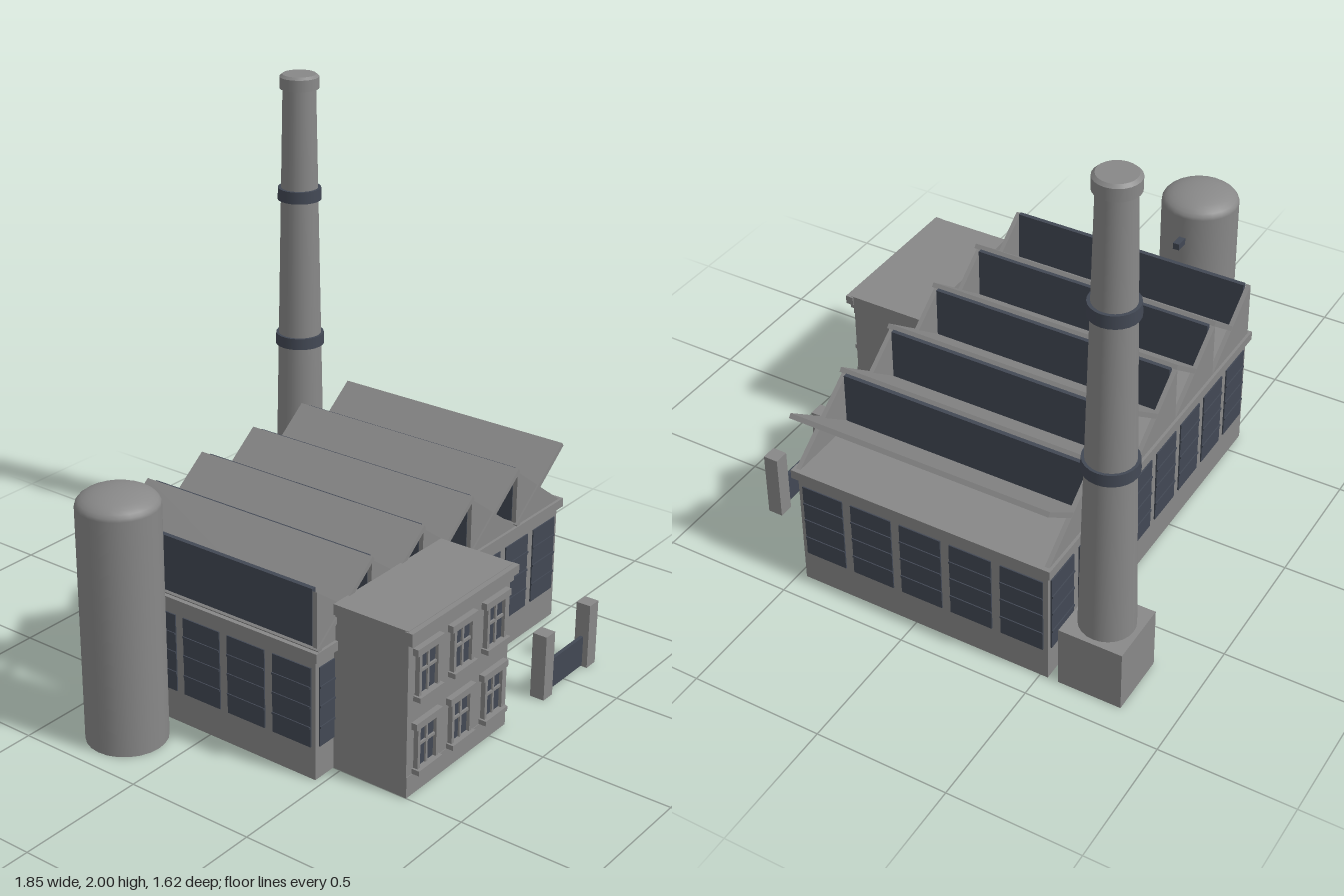
import * as THREE from 'three';

export function createModel() {
  const model = new THREE.Group();
  const masonry = new THREE.MeshStandardMaterial({ color: 0x888888 });
  masonry.name = 'masonry grey';
  const dark = new THREE.MeshStandardMaterial({ color: 0x424854 });
  dark.name = 'dark glass and steel';

  const add = (name, geometry, material, parent = model) => {
    const mesh = new THREE.Mesh(geometry, material);
    mesh.name = name;
    parent.add(mesh);
    return mesh;
  };
  // Box given by its lower and upper limits on each axis
  const box = (name, material, [x0, x1], [y0, y1], [z0, z1], parent) => {
    const mesh = add(name, new THREE.BoxGeometry(x1 - x0, y1 - y0, z1 - z0), material, parent);
    mesh.position.set((x0 + x1) / 2, (y0 + y1) / 2, (z0 + z1) / 2);
    return mesh;
  };
  const group = (name, parent = model) => {
    const g = new THREE.Group();
    g.name = name;
    parent.add(g);
    return g;
  };

  // Main hall
  const hall = group('hall');
  box('hallWalls', masonry, [-0.6, 0.9], [0, 0.48], [-0.53, 0.47], hall);
  box('hallCornice', masonry, [-0.617, 0.917], [0.465, 0.5], [-0.547, 0.487], hall);

  // Rows of large windows, with thin glazing bars
  const windowRow = (name, count, length, pane, x, z, angle) => {
    const row = group(name, hall);
    row.position.set(x, 0, z);
    row.rotation.y = angle;
    const pitch = length / count;
    for (let i = 0; i < count; i++) {
      const c = (i + 0.5) * pitch - length / 2;
      const span = [c - pane / 2, c + pane / 2];
      box('hallWindow', dark, span, [0.125, 0.43], [-0.003, 0.005], row);
      for (const y of [0.2, 0.28, 0.355]) {
        box('glazingBar', dark, span, [y - 0.004, y + 0.004], [0, 0.009], row);
      }
    }
  };
  windowRow('frontWindows', 8, 1.5, 0.15, 0.15, 0.47, 0);
  windowRow('backWindows', 8, 1.5, 0.15, 0.15, -0.53, Math.PI);
  windowRow('leftWindows', 5, 1, 0.165, 0.9, -0.03, Math.PI / 2);
  windowRow('rightWindows', 5, 1, 0.165, -0.6, -0.03, -Math.PI / 2);

  // Saw-tooth roof: end gables, upright glazing and tilted slabs
  const gableShape = new THREE.Shape([
    new THREE.Vector2(0, 0.49), new THREE.Vector2(0.3, 0.5), new THREE.Vector2(0, 0.72),
  ]);
  const gableGeometry = new THREE.ExtrudeGeometry(gableShape, { depth: 0.018, bevelEnabled: false });
  const rise = 0.23, run = 0.3;
  for (let i = 0; i < 5; i++) {
    const tooth = group('roofTooth', hall);
    tooth.position.x = -0.6 + i * run;
    for (const z of [-0.536, 0.458]) add('gable', gableGeometry, masonry, tooth).position.z = z;
    box('roofGlazing', dark, [0.002, 0.02], [0.49, 0.725], [-0.515, 0.455], tooth);
    const slab = add('roofSlab', new THREE.BoxGeometry(Math.hypot(run, rise), 0.018, 1.018), masonry, tooth);
    slab.position.set(run / 2, 0.5 + rise / 2, -0.026);
    slab.rotation.z = Math.atan2(rise, run);
  }

  // Front office block
  const office = group('office');
  box('officeWalls', masonry, [-0.5, 0.1], [0, 0.6], [0.46, 0.775], office);
  box('officeRoof', masonry, [-0.51, 0.11], [0.6, 0.64], [0.475, 0.78], office);
  box('officeCornice', masonry, [-0.515, 0.115], [0.605, 0.638], [0.77, 0.8], office);
  box('officeCorniceStep', masonry, [-0.5, 0.1], [0.58, 0.606], [0.77, 0.79], office);
  box('officePlinth', masonry, [-0.5, 0.1], [0, 0.08], [0.77, 0.777], office);

  // Office windows with frame, bars, lintel and sill
  for (const x of [-0.4, -0.2, 0]) {
    for (const y of [0.09, 0.37]) {
      const win = group('officeWindow', office);
      win.position.set(x, y, 0.775);
      box('pane', dark, [-0.05, 0.05], [0.008, 0.17], [-0.003, 0.005], win);
      for (const s of [-1, 1]) {
        box('jamb', masonry, s < 0 ? [-0.06, -0.046] : [0.046, 0.06], [0.005, 0.17], [0, 0.018], win);
      }
      box('mullion', masonry, [-0.005, 0.005], [0.005, 0.17], [0, 0.012], win);
      box('transom', masonry, [-0.05, 0.05], [0.092, 0.102], [0, 0.012], win);
      box('lintel', masonry, [-0.075, 0.075], [0.165, 0.191], [0, 0.022], win);
      box('sill', masonry, [-0.068, 0.068], [-0.009, 0.01], [0, 0.03], win);
    }
  }

  // Entrance gate
  const gate = group('gate');
  for (const x of [0.35, 0.65]) {
    box('gatePost', masonry, [x - 0.029, x + 0.029], [0, 0.26], [0.742, 0.8], gate);
  }
  box('gatePanel', dark, [0.37, 0.63], [0.005, 0.125], [0.764, 0.778], gate);

  // Chimney
  const chimney = group('chimney');
  chimney.position.set(0.78, 0, -0.69);
  box('chimneyBase', masonry, [-0.12, 0.12], [0, 0.24], [-0.12, 0.12], chimney);
  const ring = (name, material, top, bottom, y0, y1) => {
    add(name, new THREE.CylinderGeometry(top, bottom, y1 - y0, 24), material, chimney).position.y = (y0 + y1) / 2;
  };
  ring('chimneyShaft', masonry, 0.065, 0.1, 0.24, 1.95);
  ring('lowerBand', dark, 0.096, 0.098, 0.905, 0.95);
  ring('upperBand', dark, 0.085, 0.087, 1.505, 1.552);
  ring('chimneyCap', masonry, 0.077, 0.077, 1.945, 1.99);
  ring('chimneyRim', masonry, 0.066, 0.077, 1.99, 2);

  // Storage tank with a domed top
  const tank = group('tank');
  tank.position.set(-0.78, 0, -0.23);
  add('tankBody', new THREE.CylinderGeometry(0.148, 0.148, 0.9, 24), masonry, tank).position.y = 0.45;
  const dome = add('tankDome', new THREE.SphereGeometry(0.148, 24, 8, 0, Math.PI * 2, 0, Math.PI / 2), masonry, tank);
  dome.position.y = 0.9;
  dome.scale.y = 0.4;
  box('tankPipe', dark, [0.13, 0.198], [0.788, 0.814], [-0.013, 0.013], tank);

  return model;
}
